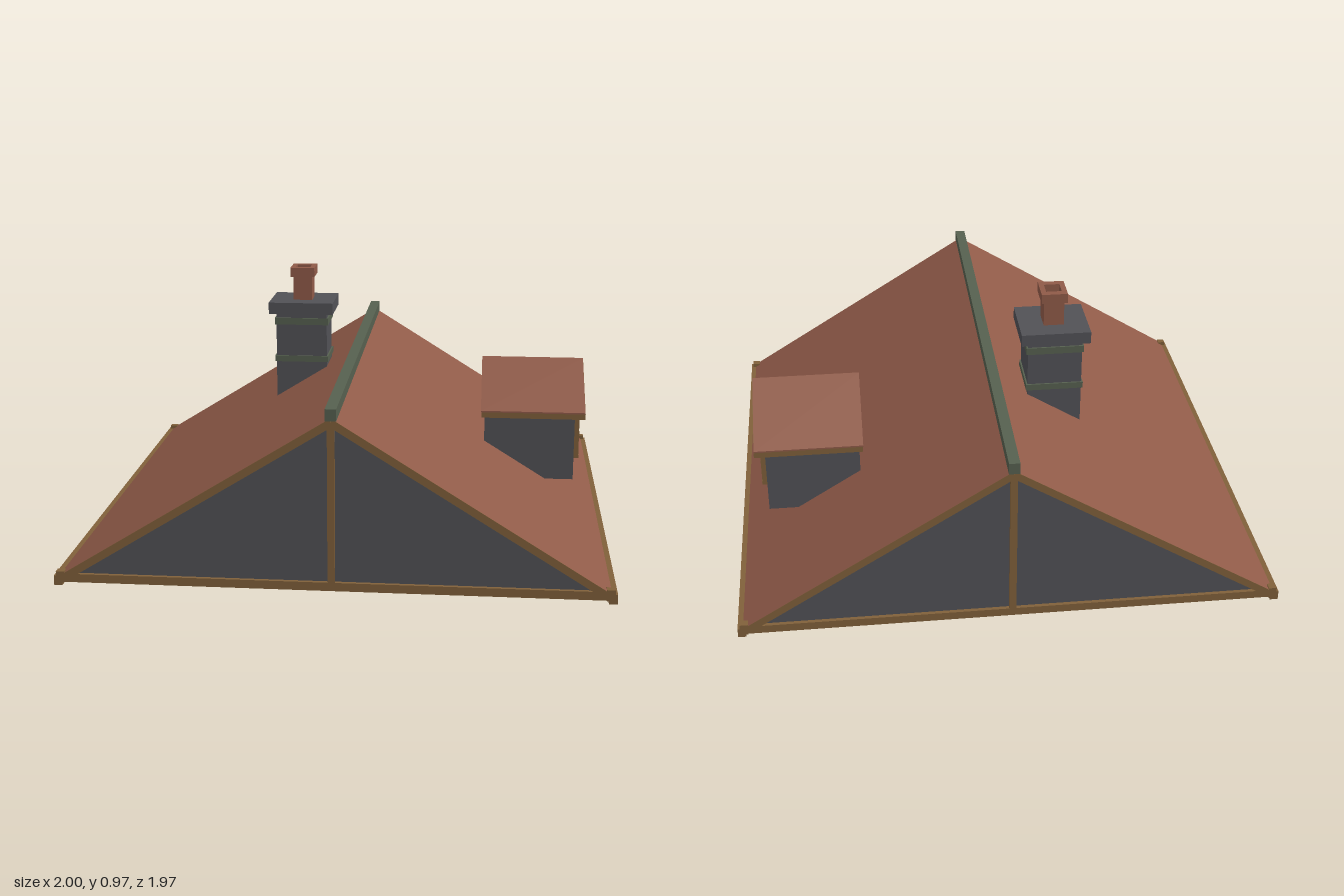
import * as THREE from 'three';

const mat = (name, color, side = THREE.FrontSide) => {
  const m = new THREE.MeshStandardMaterial({ color, side });
  m.name = name;
  return m;
};

export function createModel() {
  const tile = mat('red tile', 0x8f5a48, THREE.DoubleSide);
  const wall = mat('slate grey', 0x515156, THREE.DoubleSide);
  const wood = mat('brown timber', 0x80603a);
  const lead = mat('green lead', 0x56604f);

  const root = new THREE.Group();
  root.name = 'roof';

  const add = (parent, name, geo, material) => {
    const m = new THREE.Mesh(geo, material);
    m.name = name;
    parent.add(m);
    return m;
  };
  // Box given by its lower and upper corners
  const box = (parent, name, a, b, material) => {
    const m = add(parent, name, new THREE.BoxGeometry(b[0] - a[0], b[1] - a[1], b[2] - a[2]), material);
    m.position.set((a[0] + b[0]) / 2, (a[1] + b[1]) / 2, (a[2] + b[2]) / 2);
    return m;
  };
  const group = (name) => {
    const g = new THREE.Group();
    g.name = name;
    root.add(g);
    return g;
  };
  const polygon = (pts) => new THREE.Shape(pts.map(([x, y]) => new THREE.Vector2(x, y)));

  // Main roof slopes: thin sheets from ridge to eave
  const ridgeY = 0.645, eaveX = 0.995, eaveY = 0.027;
  const slopeLen = Math.hypot(eaveX, ridgeY - eaveY);
  const pitch = Math.atan2(ridgeY - eaveY, eaveX);
  for (const s of [1, -1]) {
    const slope = add(root, s > 0 ? 'leftRoofSlope' : 'rightRoofSlope',
      new THREE.PlaneGeometry(slopeLen, 1.96).rotateX(-Math.PI / 2), tile);
    slope.position.set(s * eaveX / 2, (ridgeY + eaveY) / 2, 0);
    slope.rotation.z = -s * pitch;
  }
  box(root, 'ridgeCap', [-0.02, 0.635, -0.983], [0.02, 0.678, 0.983], lead);

  // Gable walls and timber frame at both ends
  const frame = group('timberFrame');
  for (const e of [1, -1]) {
    const gable = add(root, e > 0 ? 'frontGable' : 'backGable',
      new THREE.ShapeGeometry(polygon([[-0.97, 0.025], [0.97, 0.025], [0, 0.63]])), wall);
    gable.position.z = e * 0.966;
    const z0 = e * 0.966 - 0.014, z1 = e * 0.966 + 0.014;
    box(frame, 'tieBeam', [-0.99, 0.013, z0], [0.99, 0.044, z1], wood);
    box(frame, 'kingPost', [-0.013, 0.04, z0], [0.013, 0.625, z1], wood);
    for (const s of [1, -1]) {
      const rake = add(frame, 'rakeBeam', new THREE.BoxGeometry(slopeLen - 0.015, 0.028, 0.028), wood);
      rake.position.set(s * 0.49, 0.3235, e * 0.966);
      rake.rotation.z = -s * pitch;
      box(frame, 'cornerBlock', [s * 0.977 - 0.015, 0.01, z0], [s * 0.977 + 0.015, 0.052, z1], wood);
    }
  }
  for (const s of [1, -1])
    box(frame, 'eaveBeam', [s * 0.985 - 0.015, 0, -0.98], [s * 0.985 + 0.015, 0.036, 0.98], wood);

  // Chimney, reaching through the slope
  const chimney = group('chimney');
  const cx = -0.241, cz = -0.227;
  const block = (name, w, d, y0, y1, m) =>
    box(chimney, name, [cx - w / 2, y0, cz - d / 2], [cx + w / 2, y1, cz + d / 2], m);
  block('shaft', 0.21, 0.19, 0.25, 0.79, wall);
  block('lowerBand', 0.222, 0.202, 0.58, 0.605, lead);
  block('upperBand', 0.222, 0.202, 0.737, 0.765, lead);
  block('cap', 0.266, 0.24, 0.785, 0.832, wall);
  // Hollow square pot and its rim
  const tube = (name, w, d, hole, y0, y1) => {
    const ring = (a, b) => [[-a, -b], [a, -b], [a, b], [-a, b]];
    const s = polygon(ring(w / 2, d / 2));
    s.holes.push(polygon(ring(hole / 2, hole / 2).reverse()));
    const g = new THREE.ExtrudeGeometry(s, { depth: y1 - y0, bevelEnabled: false }).rotateX(-Math.PI / 2);
    add(chimney, name, g, tile).position.set(cx, y0, cz);
  };
  tube('pot', 0.078, 0.09, 0.06, 0.832, 0.935);
  tube('potRim', 0.1, 0.113, 0.06, 0.93, 0.968);

  // Dormer body: five-sided section run along x
  const dormer = group('dormer');
  const dz = -0.168;
  const body = new THREE.ExtrudeGeometry(
    polygon([[-0.252, 0.165], [0.252, 0.165], [0.252, 0.44], [0, 0.585], [-0.252, 0.44]]),
    { depth: 0.36, bevelEnabled: false }).rotateY(Math.PI / 2);
  add(dormer, 'dormerBody', body, wall).position.set(0.525, 0, dz);

  // Dormer roof: timber boards with a thin tile sheet on top
  const chevron = (name, top, thick, x0, x1, m) => {
    const h = 0.283, drop = 0.16;
    const g = new THREE.ExtrudeGeometry(polygon([
      [-h, top - drop - thick], [0, top - thick], [h, top - drop - thick],
      [h, top - drop], [0, top], [-h, top - drop]]),
    { depth: x1 - x0, bevelEnabled: false }).rotateY(Math.PI / 2);
    add(dormer, name, g, m).position.set(x0, 0, dz);
  };
  chevron('dormerBoards', 0.605, 0.022, 0.512, 0.925, wood);
  chevron('dormerTiles', 0.611, 0.006, 0.51, 0.924, tile);

  // Window frame and glazing bars
  const t = 0.007, zL = -0.345, zR = 0.012, yB = 0.242, yT = 0.44;
  for (const y of [yB, (yB + yT) / 2, yT])
    box(dormer, 'windowRail', [0.88, y - t, zL - t], [0.909, y + t, zR + t], wood);
  for (const z of [zL, (zL + zR) / 2, zR])
    box(dormer, 'windowStile', [0.88, yB - t, z - t], [0.908, yT + t, z + t], wood);

  return root;
}
